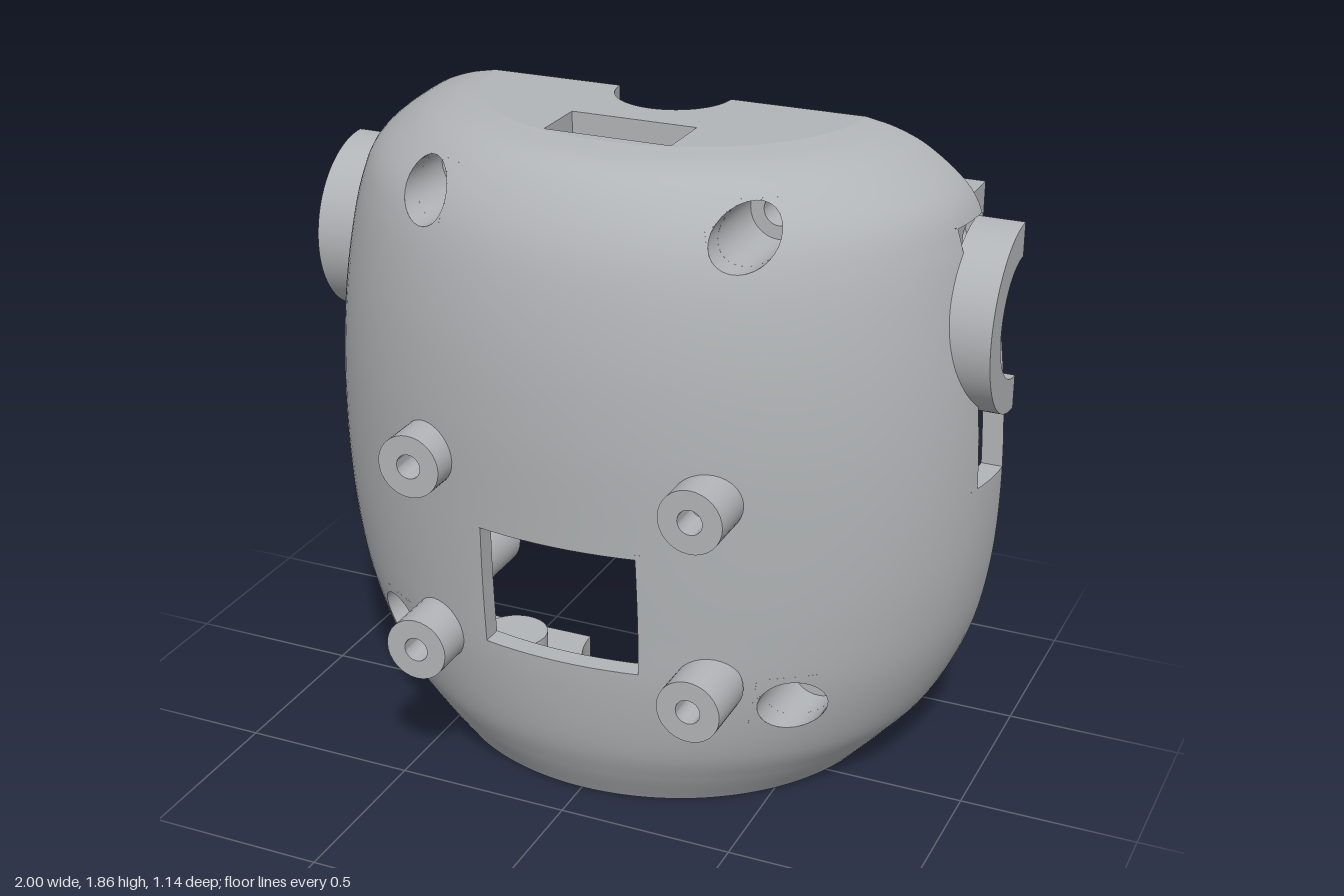
import * as THREE from 'three';
import { toCreasedNormals } from 'three/addons/utils/BufferGeometryUtils.js';

const BACK = -0.265, WALL = 0.06;
const FLOOR = 0.1, CEIL = 1.8, TOP = 1.86;

// Profile of the body: half width, height, depth of the half-ellipse section
const profile = new THREE.CatmullRomCurve3([
  [0.66, 0, 0.635], [0.75, 0.1, 0.69], [0.83, 0.2, 0.73], [0.92, 0.4, 0.765], [0.965, 0.6, 0.778],
  [0.983, 0.85, 0.792], [0.972, 1.15, 0.805], [0.94, 1.4, 0.795], [0.895, 1.6, 0.76], [0.85, 1.7, 0.72],
  [0.73, 1.8, 0.645], [0.64, 1.84, 0.58], [0.55, TOP, 0.48],
].map((p) => new THREE.Vector3(...p)));
const table = profile.getPoints(500);

function section(y) {
  let i = 1;
  while (i < table.length - 1 && table[i].y < y) i++;
  const a = table[i - 1], b = table[i];
  return a.clone().lerp(b, (y - a.y) / (b.y - a.y || 1));
}
function surface(t, y, off) {
  const s = section(y);
  return new THREE.Vector3((s.x - off) * Math.cos(t), y, BACK + (s.z - off) * Math.sin(t));
}
function angleAt(x, y, off) {
  return Math.acos(THREE.MathUtils.clamp(x / (section(y).x - off), -1, 1));
}
const frontZ = (x, y) => surface(angleAt(x, y, 0), y, 0).z;

// Openings, as convex outlines in (angle, height) on a surface
const screws = [[0.45, 1.7], [-0.45, 1.7], [0.6, 0.38], [-0.6, 0.38]];
function openings(off) {
  const toSurface = ([x, y]) => [angleAt(x, y, off), y];
  const rect = (a, b, c, d) => [[a, c], [b, c], [b, d], [a, d]];
  return {
    window: rect(-0.23, 0.225, 0.48, 0.835).map(toSurface),
    leftGap: rect(-0.01, 0.207, 0.92, 1.64),
    rightGap: rect(Math.PI - 0.207, Math.PI + 0.01, 0.92, 1.64),
    screws: screws.map(([x, y]) => Array.from({ length: 28 }, (_, i) => {
      const a = (i / 28) * Math.PI * 2;
      return toSurface([x + 0.08 * Math.cos(a), y + 0.08 * Math.sin(a)]);
    })),
  };
}

// Keeps the part of a polygon on one side of the line a-b
function clip(poly, a, b, sign) {
  const side = (p) => sign * ((b[0] - a[0]) * (p[1] - a[1]) - (b[1] - a[1]) * (p[0] - a[0]));
  const out = [];
  poly.forEach((p, i) => {
    const q = poly[(i + 1) % poly.length], sp = side(p), sq = side(q);
    if (sp >= 0) out.push(p);
    if (sp * sq < 0) {
      const k = sp / (sp - sq);
      out.push([p[0] + (q[0] - p[0]) * k, p[1] + (q[1] - p[1]) * k]);
    }
  });
  return out;
}
function subtract(poly, hole) {
  for (const k of [0, 1]) {
    const p = poly.map((v) => v[k]), h = hole.map((v) => v[k]);
    if (Math.max(...p) <= Math.min(...h) || Math.min(...p) >= Math.max(...h)) return [poly];
  }
  const area = hole.reduce((s, p, i) => {
    const q = hole[(i + 1) % hole.length];
    return s + p[0] * q[1] - q[0] * p[1];
  }, 0);
  const pieces = [];
  let rest = poly;
  hole.forEach((a, i) => {
    const b = hole[(i + 1) % hole.length], sign = Math.sign(area);
    const outside = clip(rest, a, b, -sign);
    if (outside.length > 2) pieces.push(outside);
    rest = clip(rest, a, b, sign);
  });
  return pieces;
}

// Curved skin with openings cut out of it
function skin(off, y0, y1) {
  const o = openings(off), holes = [o.window, o.leftGap, o.rightGap, ...o.screws];
  const ys = [y0, ...profile.getPoints(60).map((p) => p.y).filter((y) => y > y0 + 0.002 && y < y1 - 0.001), y1];
  const pos = [], nor = [], N = 64, e = 0.003;
  const add = ([t, y]) => {
    const dt = surface(t + e, y, off).sub(surface(t - e, y, off));
    const dy = surface(t, Math.min(y + e, TOP), off).sub(surface(t, Math.max(y - e, 0), off));
    pos.push(...surface(t, y, off).toArray());
    nor.push(...dy.cross(dt).normalize().multiplyScalar(off ? -1 : 1).toArray());
  };
  for (let j = 0; j < ys.length - 1; j++) for (let i = 0; i < N; i++) {
    const a = (i / N) * Math.PI, b = ((i + 1) / N) * Math.PI;
    let polys = [[[a, ys[j]], [b, ys[j]], [b, ys[j + 1]], [a, ys[j + 1]]]];
    for (const h of holes) polys = polys.flatMap((p) => subtract(p, h));
    for (const p of polys) for (let k = 1; k < p.length - 1; k++)
      (off ? [p[0], p[k], p[k + 1]] : [p[0], p[k + 1], p[k]]).forEach(add);
  }
  const g = new THREE.BufferGeometry();
  g.setAttribute('position', new THREE.Float32BufferAttribute(pos, 3));
  g.setAttribute('normal', new THREE.Float32BufferAttribute(nor, 3));
  return g;
}

// Strip of quads between two rows of points
function ribbon(rowA, rowB) {
  const pos = [];
  for (let i = 0; i < rowA.length - 1; i++)
    for (const p of [rowA[i], rowA[i + 1], rowB[i + 1], rowA[i], rowB[i + 1], rowB[i]]) pos.push(p.x, p.y, p.z);
  const g = new THREE.BufferGeometry();
  g.setAttribute('position', new THREE.Float32BufferAttribute(pos, 3));
  g.computeVertexNormals();
  return g;
}
function reveal(name) {
  const row = (off) => {
    const o = openings(off)[name], pts = [];
    o.forEach((a, i) => {
      const b = o[(i + 1) % o.length];
      for (let k = 0; k <= 10; k++) {
        const t = a[0] + (b[0] - a[0]) * k / 10;
        pts.push(surface(THREE.MathUtils.clamp(t, 0, Math.PI), a[1] + (b[1] - a[1]) * k / 10, off));
      }
    });
    return pts;
  };
  return ribbon(row(0), row(WALL));
}
function rim(side, y0, y1) {
  const a = [], b = [];
  for (let i = 0; i <= 30; i++) {
    const y = y0 + (y1 - y0) * i / 30, w = section(y).x;
    a.push(new THREE.Vector3(side * w, y, BACK));
    b.push(new THREE.Vector3(side * (y < FLOOR ? 0.66 : y > CEIL ? 0.55 : w - WALL), y, BACK));
  }
  return ribbon(a, b);
}

// Extrusions: outline (z, y) pushed along x, and outline (x, z) pushed along y
const shapeOf = (pts) => new THREE.Shape(pts.map((p) => new THREE.Vector2(...p)));
const circle = (x, y, r) => new THREE.Path().absarc(x, y, r, 0, Math.PI * 2, true);
function extrude(shape, depth) {
  return toCreasedNormals(new THREE.ExtrudeGeometry(shape, { depth, bevelEnabled: false, curveSegments: 32 }), 0.5);
}
const extrudeX = (s, x0, x1) => extrude(s, x1 - x0).rotateY(-Math.PI / 2).translate(x1, 0, 0);
const extrudeY = (s, y0, y1) => extrude(s, y1 - y0).rotateX(Math.PI / 2).translate(0, y1, 0);
function endPlate(w, d, notch, y0, y1, holes) {
  const s = new THREE.Shape();
  s.absellipse(0, BACK, w, d, 0, Math.PI, false);
  s.lineTo(-notch, BACK);
  s.absarc(0, BACK, notch, Math.PI, 0, true);
  s.holes = holes;
  return extrudeY(s, y0, y1);
}

export function createModel() {
  const model = new THREE.Group();
  const grey = new THREE.MeshStandardMaterial({ color: 0xb2b5b7, side: THREE.DoubleSide });
  grey.name = 'plain grey';
  const add = (name, geometry) => {
    const m = new THREE.Mesh(geometry, grey);
    m.name = name;
    model.add(m);
    return m;
  };

  // Shell
  add('outerShell', skin(0, 0, TOP));
  add('innerShell', skin(WALL, FLOOR, CEIL));
  for (const n of ['window', 'leftGap', 'rightGap']) add(n + 'Edge', reveal(n));
  for (const s of [1, -1]) {
    add('lowerRim', rim(s, 0, 0.92));
    add('upperRim', rim(s, 1.64, TOP));
  }

  // Top and bottom plates
  const slot = [shapeOf([[-0.18, 0.01], [-0.18, 0.18], [0.18, 0.18], [0.18, 0.01]])];
  add('topPlate', endPlate(0.55, 0.48, 0.165, CEIL, TOP, slot));
  add('topPlateUnderside', endPlate(0.67, 0.59, 0.165, CEIL, 1.82, slot));
  const drains = [circle(0.34, 0.1, 0.025), circle(-0.34, 0.1, 0.025)];
  add('bottomPlate', endPlate(0.66, 0.635, 0.27, 0, FLOOR, drains));
  add('bottomPlateInside', endPlate(0.7, 0.655, 0.27, 0.07, FLOOR, drains));

  // Screw posts, open through a wide bore at the front
  for (const [x, y] of screws) {
    const g = new THREE.LatheGeometry([[0.095, 1], [0.095, BACK], [0.043, BACK], [0.043, 0.1], [0.08, 0.1], [0.08, 2]]
      .map((p) => new THREE.Vector2(...p)), 32).rotateX(Math.PI / 2).translate(x, y, 0);
    const p = g.attributes.position;
    for (let i = 0; i < p.count; i++) {
      const z = p.getZ(i);
      if (z > 0.5) p.setZ(i, frontZ(p.getX(i), p.getY(i)) - (z < 1.5 ? 0.03 : 0));
    }
    add('screwPost', toCreasedNormals(g, 0.6));
  }

  // Front bosses with blind holes
  for (const x of [-0.405, 0.405]) for (const y of [0.455, 1.01]) {
    const g = new THREE.LatheGeometry([[0, 0.4], [0.09, 0.4], [0.09, 0.57], [0.035, 0.57], [0.035, 0.43], [0, 0.43]]
      .map((p) => new THREE.Vector2(...p)), 32).rotateX(Math.PI / 2);
    add('frontBoss', toCreasedNormals(g, 0.6)).position.set(x, y, 0);
  }

  for (const s of [1, -1]) {
    const span = (shape, a, b) => extrudeX(shape, Math.min(s * a, s * b), Math.max(s * a, s * b));

    // Floor stud
    add('floorStud', new THREE.CylinderGeometry(0.095, 0.095, 0.2, 32)).position.set(s * 0.34, 0.19, 0.1);

    // Shoulder half ring
    const ring = new THREE.Shape();
    ring.absarc(BACK, 1.365, 0.265, -Math.PI / 2, Math.PI / 2, false);
    ring.absarc(BACK, 1.365, 0.17, Math.PI / 2, -Math.PI / 2, true);
    add('shoulderRing', span(ring, 0.87, 1));

    // Shoulder bracket: body against the wall and two drilled jaws
    add('bracketBody', extrudeY(shapeOf([[0.67, -0.1], [0.67, 0.25], [0.74, 0.16], [0.82, 0], [0.84, -0.1]]
      .map(([x, z]) => [s * x, z])), 0.77, 1.55));
    for (const [y0, y1, hy, x1] of [[0.77, 0.92, 0.87, 0.87], [1.52, 1.67, 1.57, 0.84]]) {
      const jaw = shapeOf([[-0.43, y0], [-0.1, y0], [-0.1, y1], [-0.43, y1]]);
      jaw.holes.push(circle(BACK, hy, 0.025));
      add('bracketJaw', span(jaw, 0.67, x1));
    }

    // Sloping arm of the neck bracket
    const arm = new THREE.Shape();
    arm.moveTo(-0.44, 1.64);
    arm.lineTo(-0.44, 1.54);
    arm.lineTo(-0.39, 1.48);
    arm.lineTo(-0.3, 1.48);
    arm.quadraticCurveTo(-0.2, 1.62, -0.08, 1.46);
    arm.lineTo(0.45, 0.85);
    arm.lineTo(0.45, 0.98);
    arm.lineTo(-0.08, 1.64);
    add('neckArm', span(arm, 0.165, 0.3));
  }

  // Neck bracket: sloping web and drilled cross bar
  add('neckWeb', extrudeX(shapeOf([[-0.09, 1.6], [-0.09, 1.54], [0.47, 0.88], [0.47, 0.94]]), -0.17, 0.17));
  const bar = shapeOf([[-0.2, -0.57], [0.2, -0.57], [0.2, -0.42], [-0.2, -0.42]]);
  bar.holes.push(circle(0, -0.48, 0.025));
  add('neckBar', extrudeY(bar, 1.48, 1.6));

  return model;
}
